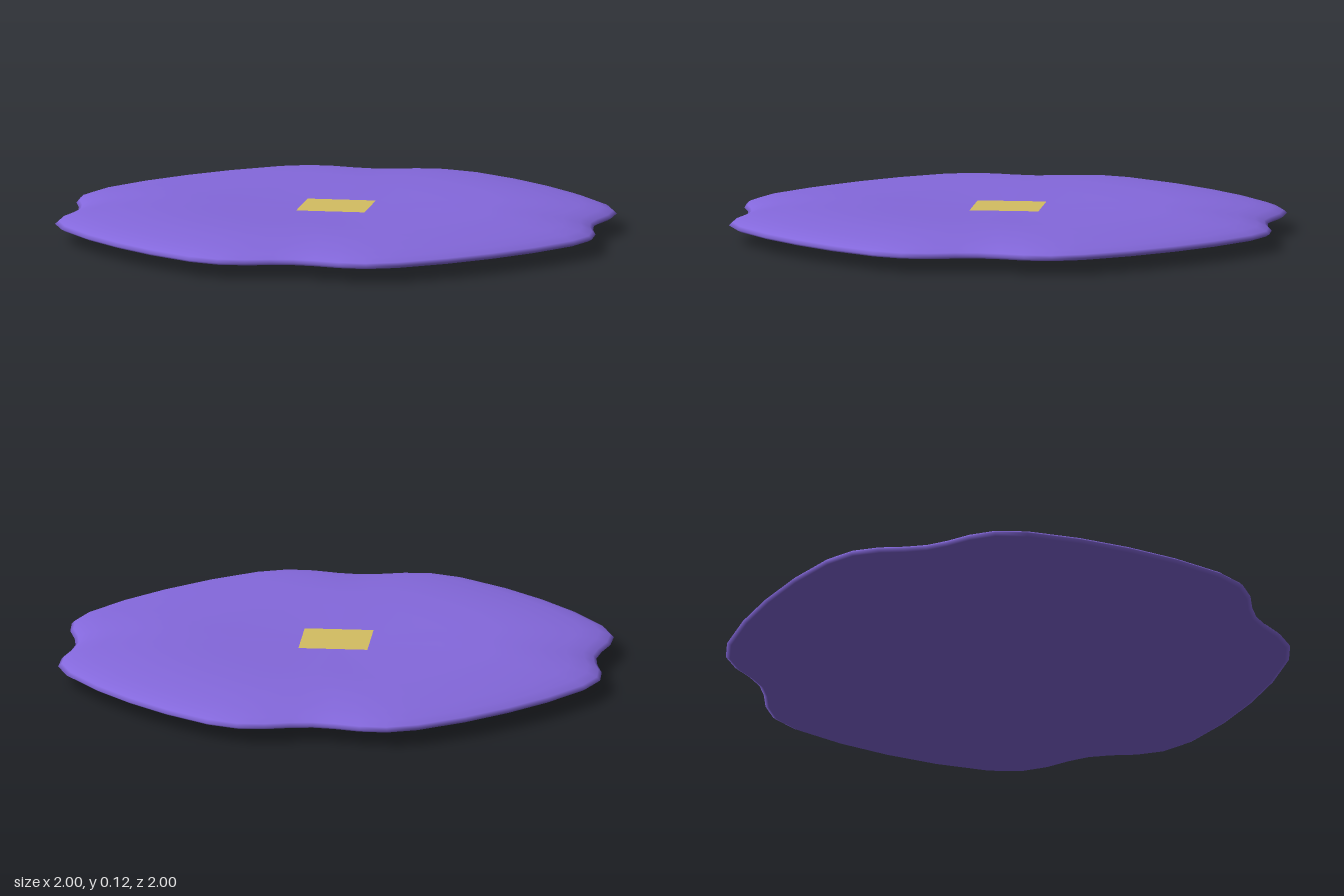
import * as THREE from 'three';
import { mergeVertices } from 'three/addons/utils/BufferGeometryUtils.js';

// Half of one lobe of the outline, from its middle to the notch: [across, outward]
const HALF_LOBE = [[0, 1], [0.2, 0.99], [0.4, 0.955], [0.51, 0.905], [0.58, 0.83], [0.63, 0.745], [0.68, 0.68]];

// Radial section, from the bottom centre round the rim to the dished top: [scale, height]
const SECTION = [
  [0, 0], [0.2, 0.003], [0.5, 0.018], [0.8, 0.034], [0.93, 0.043], [0.985, 0.051], [1, 0.06],
  [0.987, 0.072], [0.95, 0.086], [0.88, 0.1], [0.75, 0.114], [0.6, 0.119], [0.4, 0.114], [0.2, 0.107], [0, 0.105],
];

// Four-fold outline made by mirroring and turning the half lobe
function makeOutline() {
  const quarter = [...HALF_LOBE, ...HALF_LOBE.slice(1, -1).reverse().map(([a, b]) => [b, a])];
  const outline = [];
  for (let q = 0; q < 4; q++) {
    const c = Math.round(Math.cos(q * Math.PI / 2));
    const s = Math.round(Math.sin(q * Math.PI / 2));
    for (const [x, z] of quarter) outline.push([x * c + z * s, z * c - x * s]);
  }
  return outline;
}

// Lathe whose circular rings are replaced by scaled copies of the outline
function cushionGeometry() {
  const outline = makeOutline();
  const n = outline.length;
  const geo = new THREE.LatheGeometry(SECTION.map(([r, y]) => new THREE.Vector2(r, y)), n);
  const pos = geo.attributes.position;
  for (let i = 0; i <= n; i++) {
    const [x, z] = outline[i % n];
    SECTION.forEach(([r, y], j) => pos.setXYZ(i * SECTION.length + j, x * r, y, z * r));
  }
  geo.deleteAttribute('uv');
  geo.deleteAttribute('normal');
  const smooth = mergeVertices(geo, 1e-5);
  smooth.computeVertexNormals();
  return smooth;
}

export function createModel() {
  const group = new THREE.Group();
  group.name = 'lobedCushion';

  const body = new THREE.Mesh(cushionGeometry(), new THREE.MeshStandardMaterial({ color: 0x8468dc }));
  body.name = 'cushionBody';
  group.add(body);

  // Flat diamond lying in the dished top
  const diamond = new THREE.Mesh(
    new THREE.CircleGeometry(0.18, 4).rotateX(-Math.PI / 2),
    new THREE.MeshStandardMaterial({ color: 0xd4be62, side: THREE.DoubleSide }),
  );
  diamond.name = 'diamondPatch';
  diamond.position.y = 0.109;
  group.add(diamond);

  return group;
}
